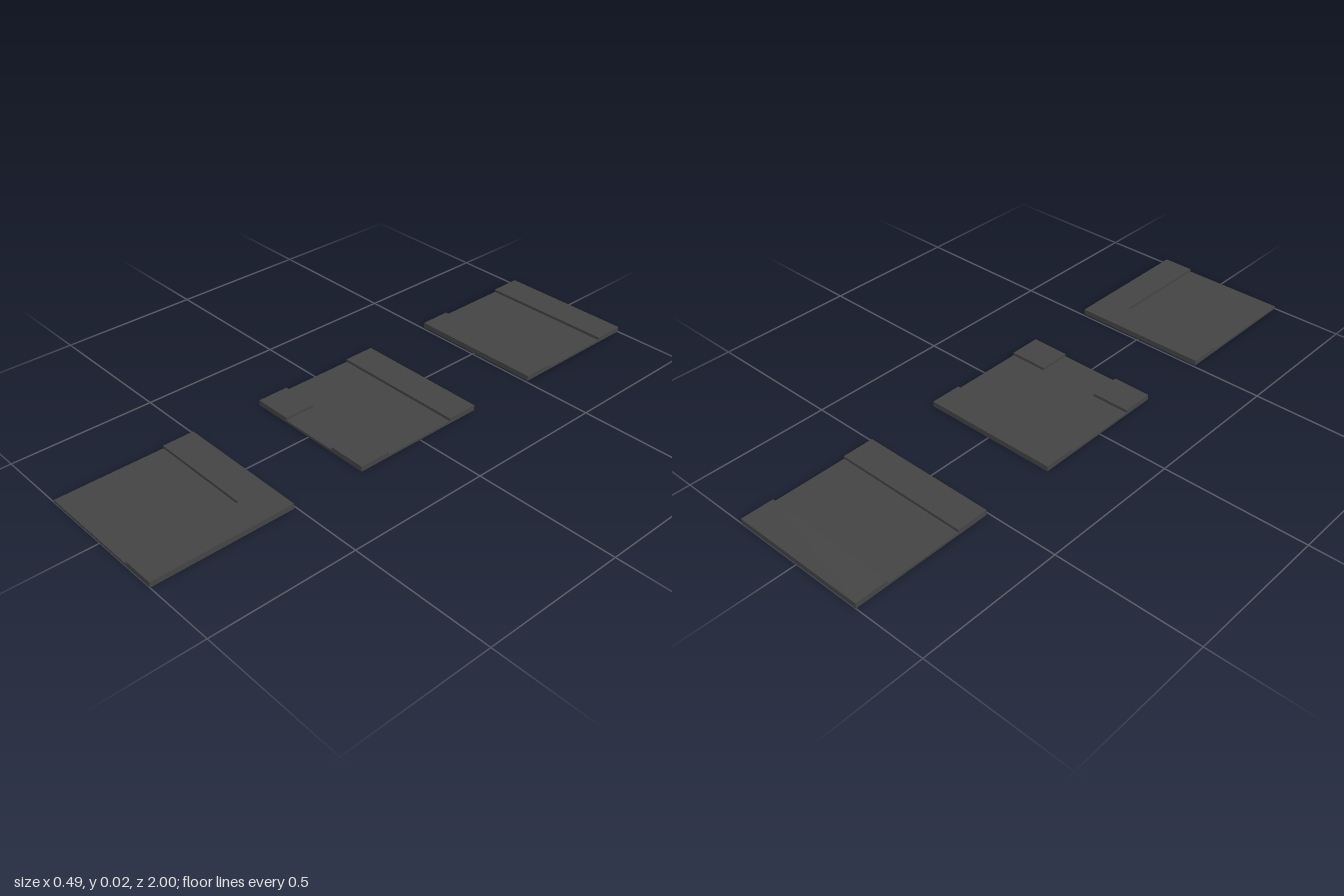
import * as THREE from 'three';

const H = 0.246;         // half width of a tile
const C = 0.133;         // inner edge of the pavement
const ROAD = 0.009;      // road height
const PAVEMENT = 0.019;  // pavement height

export function createModel() {
  const asphalt = new THREE.MeshStandardMaterial({ color: 0x444444 });
  asphalt.name = 'dark grey';

  // Upright slab from a plan outline of [x, z] points, standing on y = 0
  const slab = (parent, name, height, outline) => {
    const shape = new THREE.Shape(outline.map(([x, z]) => new THREE.Vector2(x, z)));
    const geometry = new THREE.ExtrudeGeometry(shape, { depth: height, bevelEnabled: false });
    geometry.rotateX(Math.PI / 2).translate(0, height, 0);
    const mesh = new THREE.Mesh(geometry, asphalt);
    mesh.name = name;
    parent.add(mesh);
  };
  const rect = (x0, x1, z0, z1) => [[x0, z0], [x1, z0], [x1, z1], [x0, z1]];

  const model = new THREE.Group();
  model.name = 'roadTiles';
  const tile = (name, z) => {
    const group = new THREE.Group();
    group.name = name;
    group.position.z = z;
    model.add(group);
    return group;
  };

  // Straight road: a pavement on each side
  const straight = tile('straightTile', -0.754);
  slab(straight, 'road', ROAD, rect(-H, H, -C, C));
  slab(straight, 'backPavement', PAVEMENT, rect(-H, H, -H, -C));
  slab(straight, 'frontPavement', PAVEMENT, rect(-H, H, C, H));

  // T junction: a side road leaves through the front
  const J = 0.109;
  const junction = tile('junctionTile', 0);
  slab(junction, 'road', ROAD, [[-H, -C], [H, -C], [H, C], [J, C], [J, H], [-J, H], [-J, C], [-H, C]]);
  slab(junction, 'backPavement', PAVEMENT, rect(-H, H, -H, -C));
  slab(junction, 'rightCornerPavement', PAVEMENT, rect(-H, -J, C, H));
  slab(junction, 'leftCornerPavement', PAVEMENT, rect(J, H, C, H));

  // Corner: an L-shaped pavement around the outside of the bend
  const corner = tile('cornerTile', 0.754);
  slab(corner, 'road', ROAD, rect(-H, C, -C, H));
  slab(corner, 'outerPavement', PAVEMENT, [[-H, -H], [H, -H], [H, H], [C, H], [C, -C], [-H, -C]]);

  return model;
}
